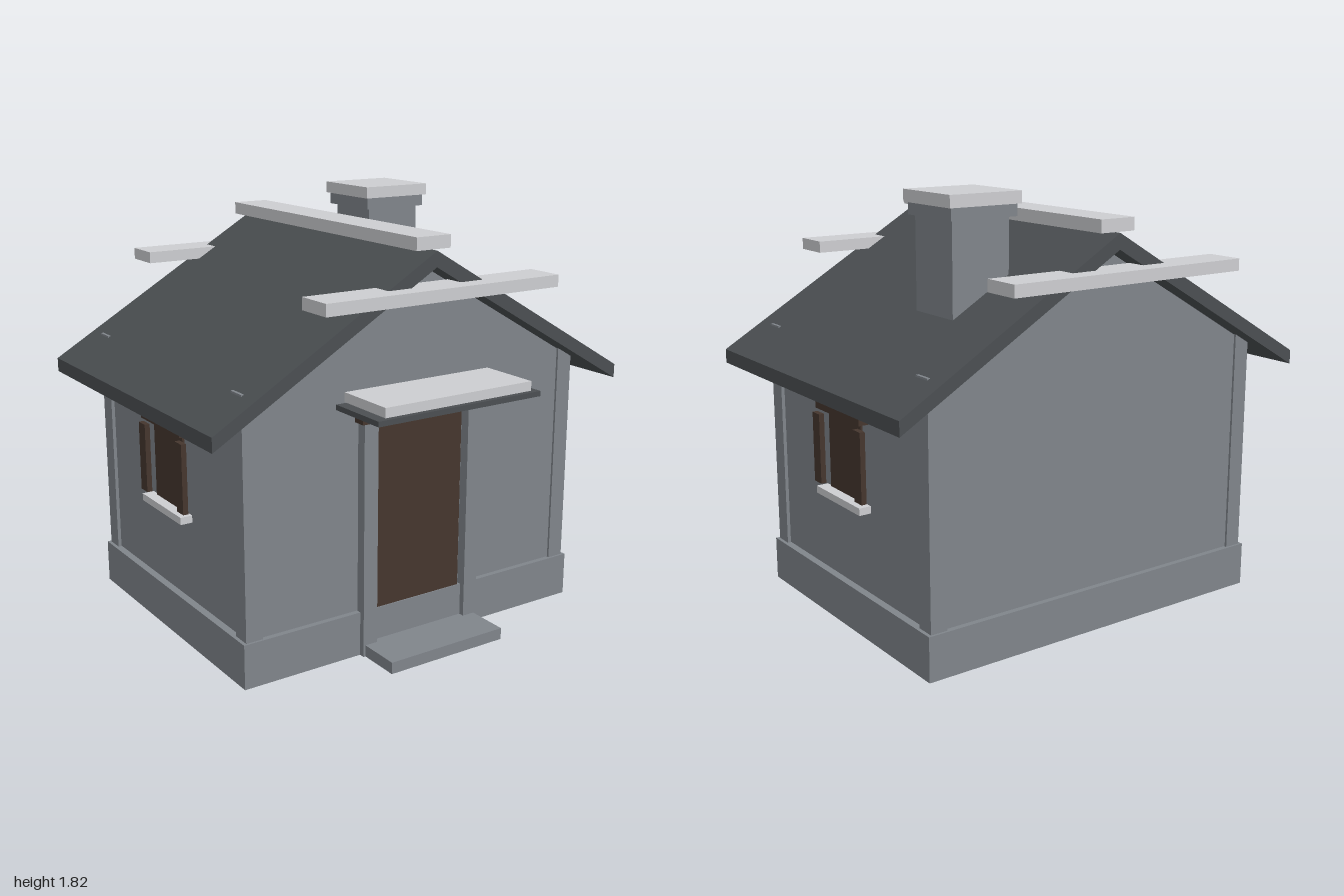
import * as THREE from 'three';

const mat = (name, color) => {
  const m = new THREE.MeshStandardMaterial({ color, side: THREE.DoubleSide });
  m.name = name;
  return m;
};

export function createModel() {
  const house = new THREE.Group();
  house.name = 'cottage';
  const wall = mat('stone grey', 0x80858b);
  const roofing = mat('slate dark', 0x4b4f52);
  const wood = mat('dark wood', 0x45362e);
  const snow = mat('pale snow', 0xcdced1);

  const add = (name, geometry, material, parent = house) => {
    const mesh = new THREE.Mesh(geometry, material);
    mesh.name = name;
    parent.add(mesh);
    return mesh;
  };

  // Box given by its limits, open underneath
  const box = (name, material, [x0, x1], [y0, y1], [z0, z1], parent) => {
    const g = new THREE.BoxGeometry(x1 - x0, y1 - y0, z1 - z0);
    const index = Array.from(g.index.array);
    index.splice(18, 6);
    g.setIndex(index);
    g.clearGroups();
    g.translate((x0 + x1) / 2, (y0 + y1) / 2, (z0 + z1) / 2);
    return add(name, g, material, parent);
  };

  // Outline in x and y, extruded between two z limits
  const prism = (name, material, points, z0, z1) => {
    const shape = new THREE.Shape(points.map(([x, y]) => new THREE.Vector2(x, y)));
    const g = new THREE.ExtrudeGeometry(shape, { depth: z1 - z0, bevelEnabled: false });
    g.translate(0, 0, z0);
    return add(name, g, material);
  };

  // Plinth, gabled walls and roof
  box('plinth', wall, [-0.84, 0.84], [0, 0.19], [-0.7, 0.6]);
  prism('walls', wall, [[-0.81, 0.192], [0.81, 0.192], [0.81, 1.128], [0, 1.598], [-0.81, 1.128]], -0.68, 0.58);
  prism('roof', roofing, [[-1, 1.02], [0, 1.6], [1, 1.02], [1, 1.08], [0, 1.665], [-1, 1.08]], -0.78, 0.685);

  // Corner posts
  for (const s of [-1, 1]) {
    for (const z of [[-0.69, -0.61], [0.51, 0.59]]) {
      box('cornerPost', wall, s > 0 ? [0.75, 0.825] : [-0.825, -0.75], [0.19, 1.19], z);
    }
  }

  // Snow on the ridge and across both gables
  box('ridgeSnow', snow, [-0.083, 0.083], [1.667, 1.72], [-0.765, 0.662]);
  box('frontGableSnow', snow, [-0.565, 0.565], [1.48, 1.53], [0.6, 0.765]);
  box('backGableSnow', snow, [-0.565, 0.565], [1.48, 1.53], [-0.865, -0.7]);

  // Chimney
  box('chimneyStack', wall, [0.295, 0.56], [1.2, 1.73], [-0.46, -0.2]);
  box('chimneyCollar', wall, [0.272, 0.58], [1.72, 1.77], [-0.485, -0.18]);
  box('chimneySnow', snow, [0.262, 0.595], [1.77, 1.82], [-0.5, -0.17]);

  // Doorway with frame, canopy and step
  box('door', wood, [-0.215, 0.215], [0.08, 0.98], [0.55, 0.595]);
  for (const x of [[-0.295, -0.228], [0.228, 0.295]]) {
    box('doorFrame', wall, x, [0, 1], [0.575, 0.625]);
  }
  box('doorLintel', wood, [-0.31, 0.31], [1, 1.062], [0.57, 0.635]);
  box('canopy', roofing, [-0.4, 0.4], [1.064, 1.086], [0.55, 0.865]);
  box('canopySnow', snow, [-0.36, 0.36], [1.09, 1.13], [0.55, 0.853]);
  box('doorStep', wall, [-0.285, 0.285], [0, 0.05], [0.6, 0.81]);

  // One window on each side wall
  for (const s of [-1, 1]) {
    const win = new THREE.Group();
    win.name = s > 0 ? 'leftWindow' : 'rightWindow';
    house.add(win);
    const side = (a, b) => (s > 0 ? [a, b] : [-b, -a]);
    box('windowPanel', wood, side(0.8, 0.82), [0.575, 0.91], [-0.18, 0.083], win);
    box('windowLintel', wood, side(0.805, 0.856), [0.912, 0.96], [-0.23, 0.13], win);
    box('windowSill', snow, side(0.805, 0.863), [0.542, 0.573], [-0.23, 0.13], win);
    for (const z of [[-0.245, -0.187], [0.093, 0.15]]) {
      box('shutter', wood, side(0.837, 0.86), [0.59, 0.89], z, win);
    }
  }
  return house;
}
